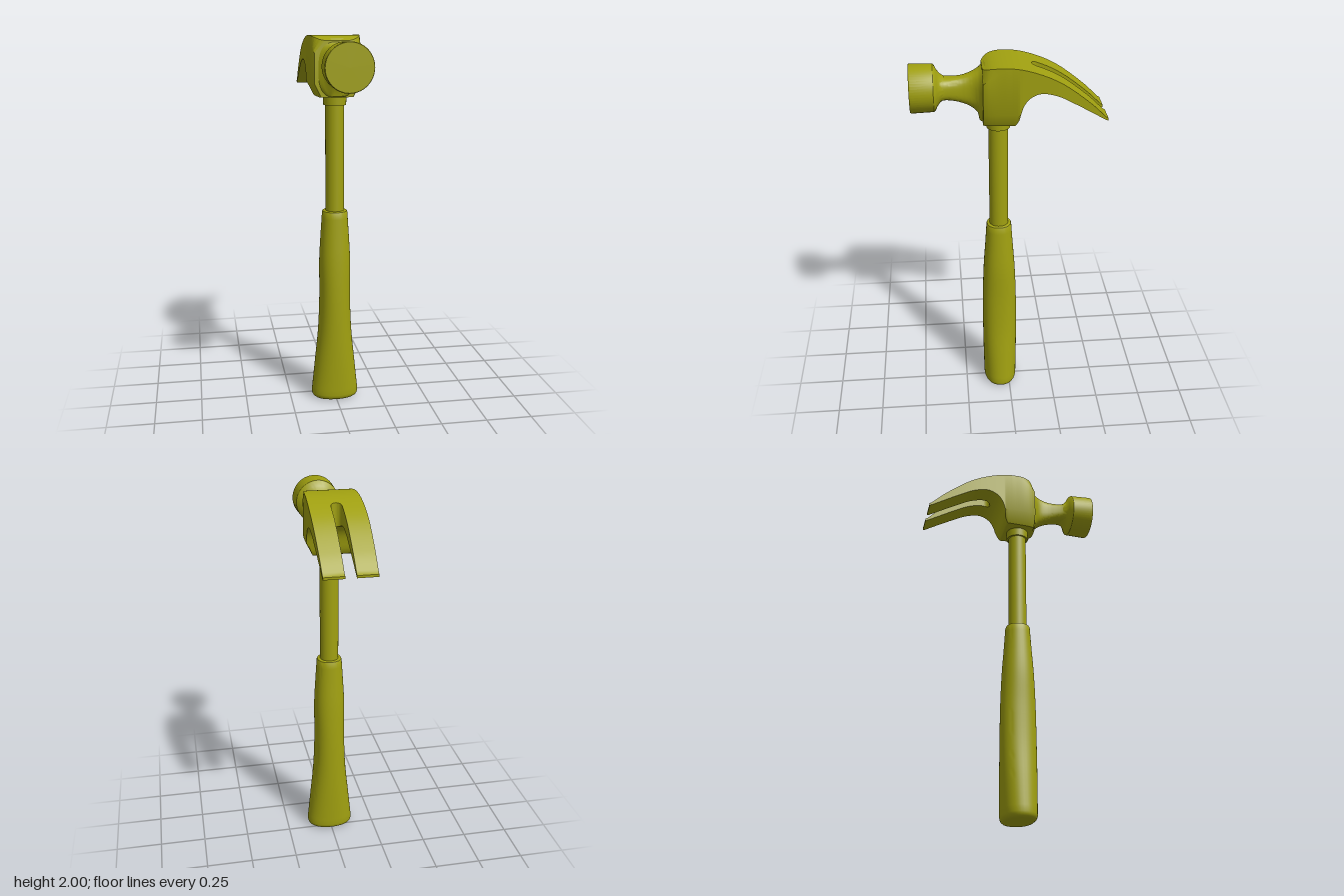
import * as THREE from 'three';
import { toCreasedNormals } from 'three/addons/utils/BufferGeometryUtils.js';

const material = new THREE.MeshStandardMaterial({ color: 0xa0a010 });
const CENTRE = 0.05; // z of the handle axis

// Smooth lookup y(x) through points listed with rising x, clamped at the ends
function profile(points) {
  const curve = new THREE.CatmullRomCurve3(points.map(([x, y]) => new THREE.Vector3(x, y, 0)));
  const pts = curve.getPoints(points.length * 16);
  return (x) => {
    if (x <= pts[0].x) return pts[0].y;
    for (let i = 1; i < pts.length; i++) {
      const a = pts[i - 1], b = pts[i];
      if (x <= b.x) return THREE.MathUtils.mapLinear(x, a.x, b.x, a.y, b.y);
    }
    return pts[pts.length - 1].y;
  };
}

// Closed solid through rings of equal point count, always facing outwards
function loft(rings, crease = 0.6) {
  const n = rings[0].length, pos = [], index = [];
  rings.forEach((r) => r.forEach((p) => pos.push(...p)));
  for (let k = 0; k < rings.length - 1; k++) {
    for (let i = 0; i < n; i++) {
      const a = k * n + i, b = k * n + (i + 1) % n;
      index.push(a, b, b + n, a, b + n, a + n);
    }
  }
  [0, rings.length - 1].forEach((k, end) => {
    const c = pos.length / 3;
    pos.push(...[0, 1, 2].map((j) => rings[k].reduce((s, p) => s + p[j], 0) / n));
    for (let i = 0; i < n; i++) {
      const a = k * n + i, b = k * n + (i + 1) % n;
      index.push(...(end ? [c, a, b] : [c, b, a]));
    }
  });
  const v = (i) => new THREE.Vector3().fromArray(pos, i * 3);
  let volume = 0;
  for (let i = 0; i < index.length; i += 3) {
    volume += v(index[i]).dot(v(index[i + 1]).cross(v(index[i + 2])));
  }
  if (volume < 0) index.reverse();
  const g = new THREE.BufferGeometry();
  g.setAttribute('position', new THREE.Float32BufferAttribute(pos, 3));
  g.setIndex(index);
  return toCreasedNormals(g, crease);
}

// Rounded outline with half sizes a and b; a higher power is squarer
function superellipse(a, b, power, n = 40) {
  const f = (c, s) => s * Math.sign(c) * Math.abs(c) ** (2 / power);
  return Array.from({ length: n }, (_, i) => {
    const t = (i / n) * Math.PI * 2;
    return [f(Math.cos(t), a), f(Math.sin(t), b)];
  });
}

const range = (a, b, n) => Array.from({ length: n + 1 }, (_, i) => a + (b - a) * i / n);

export function createModel() {
  const group = new THREE.Group();
  const add = (name, geometry) => {
    const mesh = new THREE.Mesh(geometry, material);
    mesh.name = name;
    group.add(mesh);
    return mesh;
  };

  // Grip: oval sections, flared sideways at the butt
  const gripX = profile([[0.03, 0.13], [0.2, 0.112], [0.4, 0.092], [0.6, 0.084], [0.8, 0.084], [0.95, 0.076], [1.07, 0.068]]);
  const gripZ = profile([[0.03, 0.093], [0.3, 0.096], [0.6, 0.094], [0.8, 0.086], [0.95, 0.075], [1.07, 0.067]]);
  const gripRing = (y, inset) => superellipse(gripX(y) - inset, gripZ(y) - inset, 2.2)
    .map(([x, z]) => [x, y, z + CENTRE]);
  add('grip', loft([
    ...[0, 0.25, 0.5, 0.75].map((t) => gripRing(0.03 * (1 - Math.cos(t * Math.PI / 2)), 0.025 * (1 - Math.sin(t * Math.PI / 2)))),
    ...range(0.03, 1.07, 32).map((y) => gripRing(y, 0)),
    gripRing(1.077, 0.003), gripRing(1.08, 0.009),
  ]));

  // Shaft and collar
  const shaft = add('shaft', new THREE.CylinderGeometry(0.05, 0.05, 0.65, 40));
  shaft.position.set(0, 1.365, CENTRE);
  const collar = add('collar', new THREE.CylinderGeometry(0.062, 0.06, 0.06, 40));
  collar.position.set(0, 1.675, CENTRE);

  // Head outlines along z
  const top = profile([[-0.48, 1.73], [-0.39, 1.815], [-0.23, 1.93], [-0.07, 1.99], [0.03, 2], [0.09, 1.993], [0.13, 1.975]]);
  const bottom = profile([[-0.48, 1.717], [-0.31, 1.815], [-0.23, 1.855], [-0.155, 1.87], [-0.115, 1.858],
    [-0.085, 1.835], [-0.06, 1.79], [-0.045, 1.72], [-0.03, 1.69]]);
  const outer = profile([[-0.48, 0.133], [-0.2, 0.138], [0, 0.133], [0.1, 0.126], [0.13, 0.118]]);
  const topWidth = profile([[0, 0.133], [0.06, 0.128], [0.1, 0.11], [0.12, 0.085], [0.13, 0.06]]);

  // Head body, narrowing towards its lower edge
  const slotEnd = -0.115;
  add('headBody', loft(range(0.13, slotEnd, 50).map((z) => {
    const w = outer(z), t = top(z), b = bottom(z);
    const low = w - 0.035 * THREE.MathUtils.clamp((1.78 - b) / 0.09, 0, 1);
    const half = [
      [Math.min(w, topWidth(z) + (z < 0 ? 1 : 0)), t],
      [w, t - 0.06 * THREE.MathUtils.clamp(z / 0.13, 0, 1)],
      [w, Math.max(b, 1.76)], [low, b],
    ];
    return [...half, ...half.slice().reverse().map(([x, y]) => [-x, y])].map(([x, y]) => [x, y, z]);
  })));

  // Claws: two curved prongs either side of a round-ended slot
  const slot = 0.028;
  const stations = [...range(0, 0.5, 8).map((t) => slotEnd - slot * (1 - Math.cos(t * Math.PI))),
    ...range(slotEnd - slot, -0.485, 32).slice(1)];
  for (const side of [1, -1]) {
    add(side > 0 ? 'leftClaw' : 'rightClaw', loft(stations.map((z) => {
      const d = Math.min((slotEnd - z) / slot, 1);
      const inner = slot * Math.sqrt(Math.max(0, 1 - (1 - d) ** 2));
      const w = outer(z), t = top(z), b = bottom(z);
      return [[inner, t], [w, t], [w, b], [inner, b]].map(([x, y]) => [side * x, y, z]);
    })));
  }

  // Neck flaring into the front of the body
  const neckX = profile([[0.115, 0.12], [0.135, 0.09], [0.15, 0.069], [0.18, 0.051], [0.22, 0.045], [0.26, 0.048], [0.32, 0.06], [0.35, 0.075]]);
  const neckTop = profile([[0.115, 1.985], [0.137, 1.963], [0.19, 1.935], [0.24, 1.92], [0.32, 1.918], [0.35, 1.93]]);
  const neckBottom = profile([[0.115, 1.69], [0.142, 1.692], [0.153, 1.735], [0.19, 1.768], [0.24, 1.79], [0.285, 1.802], [0.32, 1.805], [0.35, 1.795]]);
  add('neck', loft(range(0.115, 0.35, 32).map((z) => {
    const t = neckTop(z), b = neckBottom(z);
    return superellipse(neckX(z), (t - b) / 2, 2.8).map(([x, y]) => [x, y + (t + b) / 2, z]);
  })));

  // Striking face
  const bell = [[0, 0.315], [0.058, 0.315], [0.07, 0.335], [0.09, 0.35], [0.112, 0.361], [0.117, 0.368], [0.121, 0.479], [0.118, 0.485], [0, 0.485]];
  const face = add('strikingFace', toCreasedNormals(
    new THREE.LatheGeometry(bell.map(([r, z]) => new THREE.Vector2(r, z)), 56), 0.5));
  face.rotation.x = Math.PI / 2;
  face.position.y = 1.863;

  return group;
}
